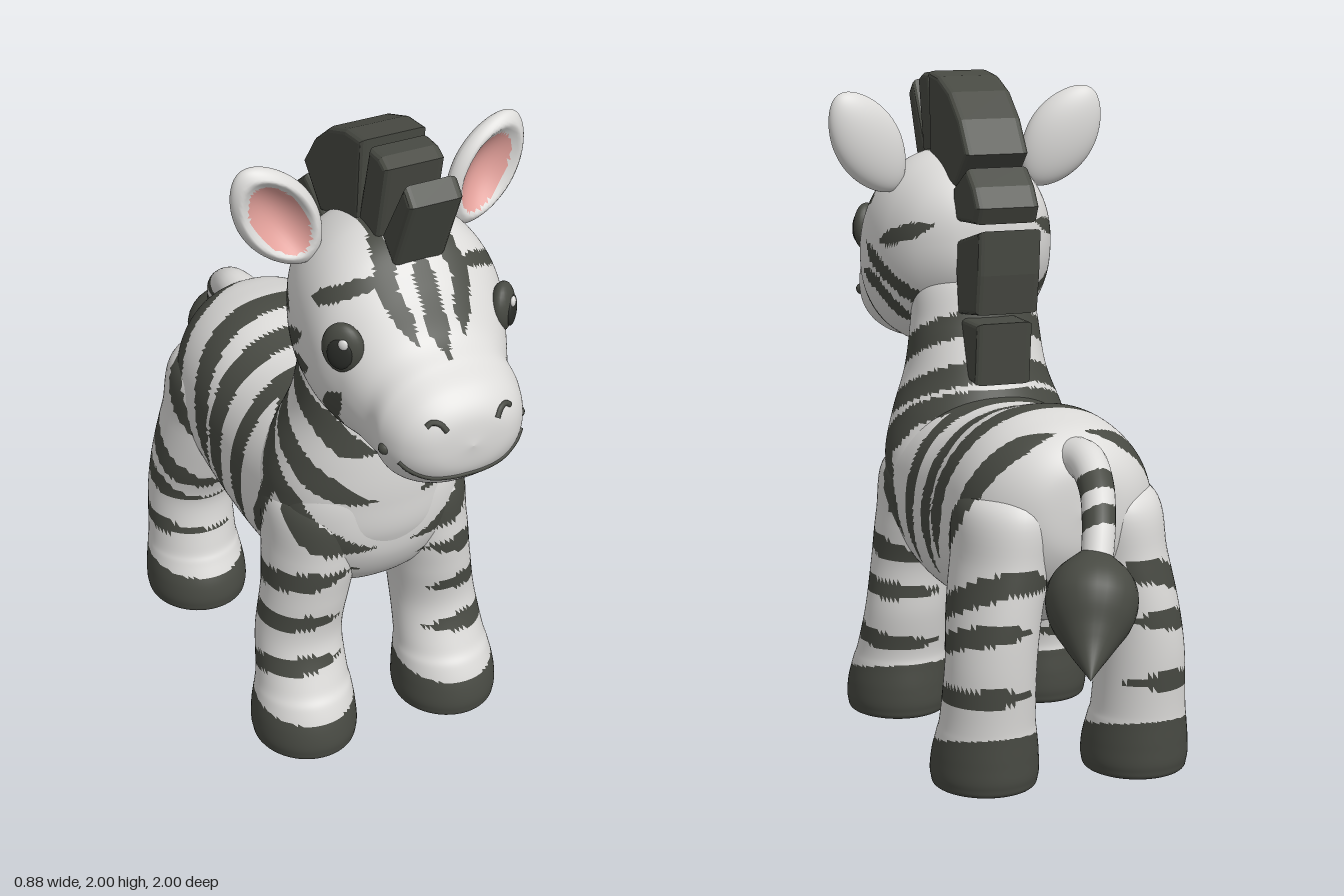
import * as THREE from 'three';

const mat = (name, color, extra = {}) => {
  const m = new THREE.MeshStandardMaterial({ color, ...extra });
  m.name = name;
  return m;
};
const V = (x, y, z) => new THREE.Vector3(x, y, z);
const clamp = THREE.MathUtils.clamp;
const curveOf = (pts) => new THREE.CatmullRomCurve3(pts, false, 'catmullrom', 0.5);

// Closed loft; rows are [x, y, z, halfWidth, halfDepth], rings lie across the given axis
function loft(rows, axis, n, m, power = 1) {
  const centre = curveOf(rows.map((r) => V(r[0], r[1], r[2])));
  const size = curveOf(rows.map((r) => V(r[3], r[4], 0)));
  const pos = [], idx = [];
  const round = (c) => Math.sign(c) * Math.abs(c) ** power;
  for (let i = 0; i <= n; i++) {
    const c = centre.getPoint(i / n), s = size.getPoint(i / n);
    for (let j = 0; j < m; j++) {
      const a = (j / m) * Math.PI * 2;
      const u = round(Math.cos(a)) * Math.max(0, s.x), v = round(Math.sin(a)) * Math.max(0, s.y);
      if (axis === 'z') pos.push(c.x + u, c.y + v, c.z);
      else pos.push(c.x + u, c.y, c.z - v);
      if (i < n) {
        const k = (j + 1) % m, p = i * m, q = p + m;
        idx.push(p + j, p + k, q + j, p + k, q + k, q + j);
      }
    }
  }
  const g = new THREE.BufferGeometry();
  g.setAttribute('position', new THREE.Float32BufferAttribute(pos, 3));
  g.setIndex(idx);
  g.computeVertexNormals();
  return g;
}

// Tube with a radius that changes along its path
function sweep(points, radii, n, m) {
  const path = curveOf(points), rad = curveOf(radii.map((r) => V(r, 0, 0)));
  const g = new THREE.TubeGeometry(path, n, 1, m, false);
  const p = g.attributes.position, nor = g.attributes.normal;
  for (let k = 0; k < p.count; k++) {
    const t = Math.floor(k / (m + 1)) / n;
    const q = path.getPointAt(t).addScaledVector(V().fromBufferAttribute(nor, k), Math.max(0, rad.getPoint(t).x));
    p.setXYZ(k, q.x, q.y, q.z);
  }
  g.computeVertexNormals();
  return g;
}

// Sort faces into two material groups by a test on their centre
function paint(g, test) {
  const p = g.attributes.position, src = g.index.array, out = [[], []];
  for (let i = 0; i < src.length; i += 3) {
    const t = [src[i], src[i + 1], src[i + 2]];
    const c = V();
    t.forEach((k) => c.add(V().fromBufferAttribute(p, k)));
    c.divideScalar(3);
    out[test(c) ? 1 : 0].push(...t);
  }
  g.setIndex(out[0].concat(out[1]));
  g.clearGroups();
  g.addGroup(0, out[0].length, 0);
  g.addGroup(out[0].length, out[1].length, 1);
  return g;
}

// A stripe is [halfWidth, a, b, a, b, ...], a polyline that tapers at both ends
function inStripe([w, ...p], a, b, scale = 1) {
  const segs = p.length / 2 - 1;
  for (let i = 0; i < segs; i++) {
    const [x0, y0, x1, y1] = p.slice(i * 2, i * 2 + 4);
    const dx = x1 - x0, dy = y1 - y0;
    const t = clamp(((a - x0) * dx + (b - y0) * dy) / (dx * dx + dy * dy), 0, 1);
    const along = (i + t) / segs;
    const taper = Math.min(1, 0.2 + 4 * Math.min(along, 1 - along));
    if (Math.hypot(a - x0 - t * dx, b - y0 - t * dy) < w * taper * scale) return true;
  }
  return false;
}

// Coat stripes as (z, y)
const coatStripes = [
  [0.036, 0.1, 1.33, 0.3, 1.21, 0.48, 1.1, 0.66, 0.96],
  [0.034, 0.0, 1.2, 0.2, 1.1, 0.42, 0.98, 0.64, 0.82],
  [0.034, 0.05, 1.08, 0.25, 0.98, 0.43, 0.84, 0.62, 0.62],
  [0.034, 0.2, 1.02, 0.34, 0.86, 0.3, 0.74, 0.23, 0.61],
  [0.036, 0.08, 1.25, 0.11, 0.95, 0.12, 0.75, 0.13, 0.56],
  [0.04, -0.07, 1.25, -0.06, 1.0, -0.03, 0.78, -0.02, 0.56],
  [0.042, -0.27, 1.25, -0.21, 1.03, -0.14, 0.83, -0.1, 0.63],
  [0.04, -0.5, 1.18, -0.4, 0.98, -0.32, 0.8, -0.22, 0.67],
  [0.036, -0.62, 0.68, -0.48, 0.61, -0.34, 0.54, -0.17, 0.45],
  [0.03, -0.62, 0.52, -0.45, 0.47, -0.25, 0.4],
  [0.027, -0.62, 0.31, -0.42, 0.3, -0.25, 0.28],
  [0.032, 0.6, 0.61, 0.42, 0.57, 0.2, 0.53],
  [0.028, 0.6, 0.45, 0.4, 0.43, 0.2, 0.42],
  [0.028, 0.62, 0.31, 0.42, 0.28, 0.22, 0.24],
];
const coat = (c) => {
  const x = Math.abs(c.x);
  const inner = c.y < 0.6 ? 0.13 : c.z > 0.38 ? 0.05 : c.z < -0.34 ? 0.04 : -1;
  const scale = clamp((x - inner) / 0.11, 0, 1);
  return scale > 0 && coatStripes.some((s) => inStripe(s, c.z, c.y, scale));
};

// Face stripes: cheeks as (z, y), forehead as (|x|, y)
const cheekStripes = [
  [0.024, 0.45, 1.485, 0.38, 1.51, 0.28, 1.55],
  [0.026, 0.55, 1.47, 0.43, 1.39, 0.31, 1.28],
  [0.028, 0.58, 1.38, 0.49, 1.35, 0.4, 1.22],
  [0.03, 0.71, 1.36, 0.65, 1.28, 0.63, 1.17],
  [0.022, 0.69, 1.67, 0.63, 1.62, 0.57, 1.59],
];
const foreheadStripes = [
  [0.03, 0, 1.49, 0, 1.6, 0, 1.71],
  [0.027, 0.07, 1.52, 0.11, 1.64, 0.08, 1.77],
];
const face = (c) => {
  const x = Math.abs(c.x);
  return (x > 0.12 && cheekStripes.some((s) => inStripe(s, c.z, c.y)))
    || (c.z > 0.5 && c.y > 1.45 && foreheadStripes.some((s) => inStripe(s, x, c.y)));
};

export function createModel() {
  const white = mat('coat white', 0xdcdbd9), dark = mat('stripe charcoal', 0x484a43);
  const pink = mat('ear pink', 0xe2a09a), black = mat('pupil black', 0x2c2e2a);
  const model = new THREE.Group();
  const add = (name, geo, material) => {
    const mesh = new THREE.Mesh(geo, material);
    mesh.name = name;
    model.add(mesh);
    return mesh;
  };
  const coated = [white, dark];

  // Barrel, neck and head
  add('body', paint(loft([
    [0, 0.82, -0.53, 0, 0], [0, 0.82, -0.515, 0.13, 0.13], [0, 0.8, -0.45, 0.225, 0.23],
    [0, 0.77, -0.35, 0.285, 0.295], [0, 0.76, -0.2, 0.3, 0.32], [0, 0.73, 0, 0.3, 0.31],
    [0, 0.73, 0.2, 0.3, 0.31], [0, 0.75, 0.35, 0.295, 0.29], [0, 0.76, 0.47, 0.26, 0.24],
    [0, 0.79, 0.55, 0.16, 0.15], [0, 0.8, 0.575, 0, 0],
  ], 'z', 130, 120, 0.92), coat), coated);
  add('neck', paint(loft([
    [0, 0.55, 0.32, 0, 0], [0, 0.6, 0.32, 0.2, 0.18], [0, 0.72, 0.32, 0.29, 0.25],
    [0, 0.85, 0.33, 0.295, 0.255], [0, 0.97, 0.345, 0.265, 0.24], [0, 1.1, 0.365, 0.22, 0.205],
    [0, 1.25, 0.375, 0.2, 0.16], [0, 1.42, 0.4, 0.18, 0.13], [0, 1.46, 0.4, 0, 0],
  ], 'y', 90, 110), coat), coated);
  const head = add('head', paint(loft([
    [0, 1.5, 0.23, 0, 0], [0, 1.5, 0.25, 0.12, 0.12], [0, 1.49, 0.32, 0.215, 0.215],
    [0, 1.465, 0.42, 0.27, 0.285], [0, 1.45, 0.53, 0.29, 0.315], [0, 1.43, 0.63, 0.285, 0.3],
    [0, 1.385, 0.72, 0.25, 0.25], [0, 1.325, 0.8, 0.217, 0.205], [0, 1.3, 0.87, 0.213, 0.18],
    [0, 1.295, 0.94, 0.18, 0.142], [0, 1.295, 0.985, 0.115, 0.085], [0, 1.295, 1.0, 0, 0],
  ], 'z', 120, 130, 0.9), face), coated);

  // Legs with slanted hooves
  const legs = {
    front: [[0, 0.235, 0.45, 0, 0], [0.004, 0.235, 0.45, 0.13, 0.14], [0.035, 0.235, 0.45, 0.155, 0.165],
      [0.1, 0.235, 0.445, 0.155, 0.163], [0.17, 0.232, 0.435, 0.145, 0.148], [0.22, 0.23, 0.42, 0.137, 0.133],
      [0.35, 0.222, 0.385, 0.13, 0.125], [0.5, 0.2, 0.385, 0.13, 0.14], [0.65, 0.175, 0.37, 0.14, 0.17],
      [0.82, 0.15, 0.35, 0.14, 0.17], [0.9, 0.14, 0.34, 0, 0]],
    hind: [[0, 0.235, -0.35, 0, 0], [0.004, 0.235, -0.35, 0.13, 0.14], [0.035, 0.235, -0.35, 0.155, 0.165],
      [0.1, 0.235, -0.355, 0.155, 0.163], [0.17, 0.235, -0.37, 0.145, 0.148], [0.22, 0.235, -0.38, 0.138, 0.14],
      [0.38, 0.23, -0.395, 0.132, 0.138], [0.52, 0.212, -0.37, 0.135, 0.165], [0.67, 0.18, -0.34, 0.14, 0.185],
      [0.84, 0.15, -0.32, 0.14, 0.18], [0.92, 0.14, -0.32, 0, 0]],
  };
  for (const [end, rows] of Object.entries(legs)) for (const [side, s] of [['Left', 1], ['Right', -1]]) {
    const toe = rows[0][2] + 0.16;
    const geo = loft(rows.map(([y, x, z, a, b]) => [x * s, y, z, a, b]), 'y', 80, 56);
    add(end + side + 'Leg', paint(geo, (c) => c.y < 0.125 + (toe - c.z) * 0.18 || coat(c)), coated);
  }

  // Tail with two bands and a pointed tuft
  const tail = sweep([V(0, 0.95, -0.4), V(-0.01, 0.97, -0.52), V(0, 0.92, -0.62), V(0.025, 0.84, -0.7), V(0.055, 0.74, -0.76)],
    [0.08, 0.058, 0.05, 0.047, 0.045], 70, 24);
  add('tail', paint(tail, ({ y, z }) => Math.abs(-z - y + 0.3) < 0.045 || Math.abs(-z - y + 0.14) < 0.04), coated);
  add('tailTuft', sweep([V(0.05, 0.77, -0.73), V(0.09, 0.64, -0.81), V(0.13, 0.55, -0.9), V(0.17, 0.485, -1.0)],
    [0.03, 0.105, 0.128, 0.115, 0.075, 0.035, 0], 32, 28), dark);

  // Mane locks: width, then outline as (z, y)
  const locks = [
    [0.16, 0.765, 1.91, 0.72, 1.955, 0.6, 1.75, 0.67, 1.69],
    [0.18, 0.64, 1.965, 0.6, 1.985, 0.54, 1.985, 0.48, 1.74, 0.59, 1.72],
    [0.2, 0.515, 1.995, 0.42, 1.985, 0.32, 1.945, 0.23, 1.87, 0.16, 1.77, 0.27, 1.66, 0.38, 1.69, 0.5, 1.74],
    [0.2, 0.17, 1.73, 0.11, 1.68, 0.07, 1.62, 0.095, 1.57, 0.28, 1.56, 0.29, 1.66],
    [0.2, 0.055, 1.555, 0.065, 1.42, 0.085, 1.3, 0.25, 1.28, 0.28, 1.5],
    [0.18, 0.27, 1.27, 0.1, 1.27, 0.12, 1.08, 0.27, 1.09],
  ];
  locks.forEach(([w, ...p], i) => {
    const shape = new THREE.Shape();
    for (let k = 0; k < p.length; k += 2) shape[k ? 'lineTo' : 'moveTo'](p[k], p[k + 1]);
    const geo = new THREE.ExtrudeGeometry(shape, { depth: w - 0.04, bevelThickness: 0.02, bevelSize: 0.015, bevelOffset: -0.015, bevelSegments: 3 });
    add('maneLock' + (i + 1), geo.translate(0, 0, 0.02 - w / 2).rotateY(-Math.PI / 2), dark);
  });

  // Ears: flattened egg, dished in front with a pink lining
  for (const [side, s] of [['left', 1], ['right', -1]]) {
    const geo = new THREE.SphereGeometry(1, 56, 36);
    const p = geo.attributes.position;
    for (let k = 0; k < p.count; k++) {
      const x = p.getX(k), y = p.getY(k), z = p.getZ(k);
      const dish = z > 0 ? 0.075 * Math.max(0, 1 - (x * x + y * y) / 0.62) : 0;
      p.setXYZ(k, x * 0.108 * (1 - 0.15 * y * y), y * 0.175, z * 0.052 - dish);
    }
    geo.computeVertexNormals();
    paint(geo, (c) => c.z > -0.03 && (c.x / 0.068) ** 2 + ((c.y + 0.01) / 0.118) ** 2 < 1 && c.z < 0.04);
    const ear = add(side + 'Ear', geo, [white, pink]);
    ear.position.set(0.315 * s, 1.79, 0.45);
    ear.rotation.set(0, 0.15 * s, -0.58 * s);
  }

  // Eyes with pupil and glint
  for (const [side, s] of [['left', 1], ['right', -1]]) {
    const eye = new THREE.Group();
    eye.name = side + 'Eye';
    const ball = (name, r, pos, m) => {
      const b = new THREE.Mesh(new THREE.SphereGeometry(1, 24, 16), m);
      b.name = name;
      b.scale.set(...r);
      b.position.set(...pos);
      eye.add(b);
    };
    ball('eyeball', [0.06, 0.075, 0.035], [0, 0, 0.012], dark);
    ball('pupil', [0.036, 0.046, 0.012], [0, -0.005, 0.04], black);
    ball('glint', [0.014, 0.016, 0.008], [-0.012 * s, 0.03, 0.046], white);
    eye.position.set(0.232 * s, 1.5, 0.695);
    eye.rotation.y = 0.8 * s;
    model.add(eye);
  }

  // Mouth and nostrils, laid on the front of the head
  head.updateMatrixWorld();
  const ray = new THREE.Raycaster();
  const line = (name, pts, r) => {
    const on = pts.map(([x, y]) => {
      ray.set(V(x, y, 2), V(0, 0, -1));
      const hit = ray.intersectObject(head)[0];
      return hit ? hit.point : V(x, y, 0.85);
    });
    add(name, new THREE.TubeGeometry(curveOf(on), 28, r, 8, false), dark);
  };
  line('mouth', [-0.185, -0.16, -0.11, -0.05, 0, 0.05, 0.11, 0.16, 0.185].map((x) => [x, 1.195 + 0.06 * (x / 0.185) ** 4]), 0.007);
  for (const [side, s] of [['left', 1], ['right', -1]]) {
    line(side + 'Nostril', [[0.075 * s, 1.355], [0.09 * s, 1.375], [0.11 * s, 1.38], [0.125 * s, 1.37]], 0.008);
    const dimple = add(side + 'MouthCorner', new THREE.SphereGeometry(0.018, 14, 10), dark);
    dimple.position.set(0.203 * s, 1.275, 0.88);
  }
  return model;
}
